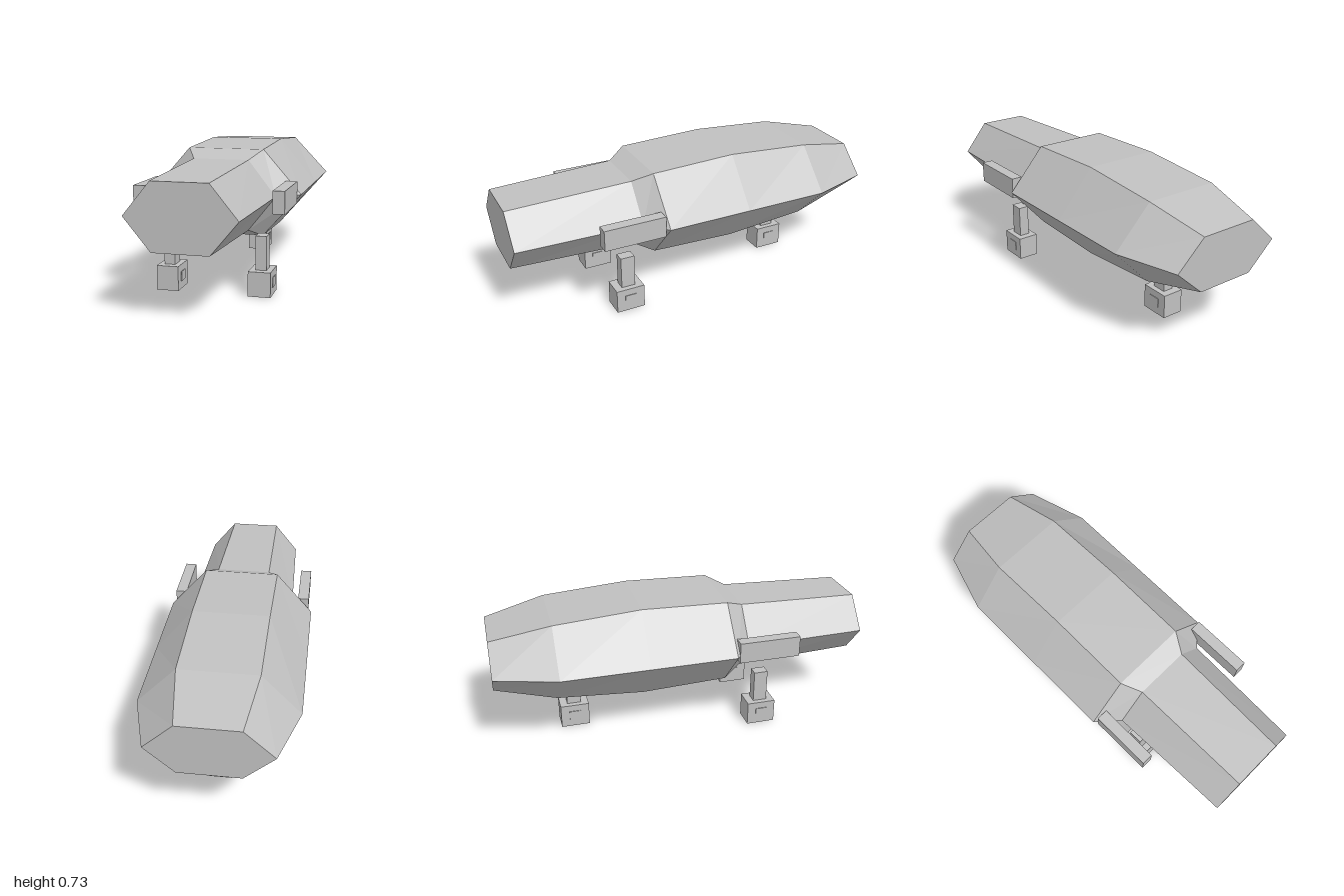
import * as THREE from 'three';

// Hexagonal hull stations, nose to tail: z, half width, half flat width, top y, bottom y
const STATIONS = [
  [1.0, 0.267, 0.135, 0.643, 0.323],
  [0.34, 0.287, 0.145, 0.665, 0.302],
  [0.24, 0.4, 0.2, 0.71, 0.257],
  [-0.22, 0.4, 0.2, 0.725, 0.24],
  [-0.68, 0.4, 0.2, 0.692, 0.275],
  [-1.0, 0.305, 0.155, 0.622, 0.345],
];
const MID_Y = 0.482;

function hullGeometry() {
  const rings = STATIONS.map(([z, w, f, top, bottom]) => [
    [w, MID_Y, z], [f, top, z], [-f, top, z],
    [-w, MID_Y, z], [-f, bottom, z], [f, bottom, z],
  ]);
  const positions = [];
  const tri = (a, b, c) => positions.push(...a, ...b, ...c);

  // Skin between neighbouring stations
  for (let s = 0; s < rings.length - 1; s++) {
    for (let i = 0; i < 6; i++) {
      const j = (i + 1) % 6;
      const a = rings[s][i], b = rings[s][j];
      const c = rings[s + 1][j], d = rings[s + 1][i];
      tri(a, c, b);
      tri(a, d, c);
    }
  }
  // Flat nose and tail caps
  const nose = rings[0], tail = rings[rings.length - 1];
  for (let i = 1; i < 5; i++) {
    tri(nose[0], nose[i], nose[i + 1]);
    tri(tail[0], tail[i + 1], tail[i]);
  }

  const geometry = new THREE.BufferGeometry();
  geometry.setAttribute('position', new THREE.Float32BufferAttribute(positions, 3));
  geometry.computeVertexNormals();
  return geometry;
}

export function createModel() {
  const model = new THREE.Group();
  model.name = 'spacecraft';
  const grey = new THREE.MeshStandardMaterial({ color: 0xc0c0c0 });
  grey.name = 'hullGrey';

  const box = (name, parent, size, position) => {
    const mesh = new THREE.Mesh(new THREE.BoxGeometry(...size), grey);
    mesh.name = name;
    mesh.position.set(...position);
    parent.add(mesh);
  };

  const hull = new THREE.Mesh(hullGeometry(), grey);
  hull.name = 'hull';
  model.add(hull);

  // Side pods beside the neck of the hull
  for (const [side, name] of [[1, 'leftPod'], [-1, 'rightPod']]) {
    box(name, model, [0.06, 0.112, 0.33], [side * 0.352, 0.497, 0.422]);
  }

  // Landing gear: strut, block foot and a hub through both sides
  const landingLeg = (name, x, z) => {
    const leg = new THREE.Group();
    leg.name = name;
    leg.position.set(x, 0, z);
    box('strut', leg, [0.057, 0.182, 0.075], [0, 0.211, 0]);
    box('foot', leg, [0.115, 0.128, 0.155], [0, 0.064, 0]);
    box('hub', leg, [0.122, 0.051, 0.062], [0, 0.066, 0]);
    model.add(leg);
  };
  landingLeg('frontLeftLeg', 0.24, 0.425);
  landingLeg('frontRightLeg', -0.24, 0.425);
  landingLeg('rearLeg', 0, -0.577);

  return model;
}
